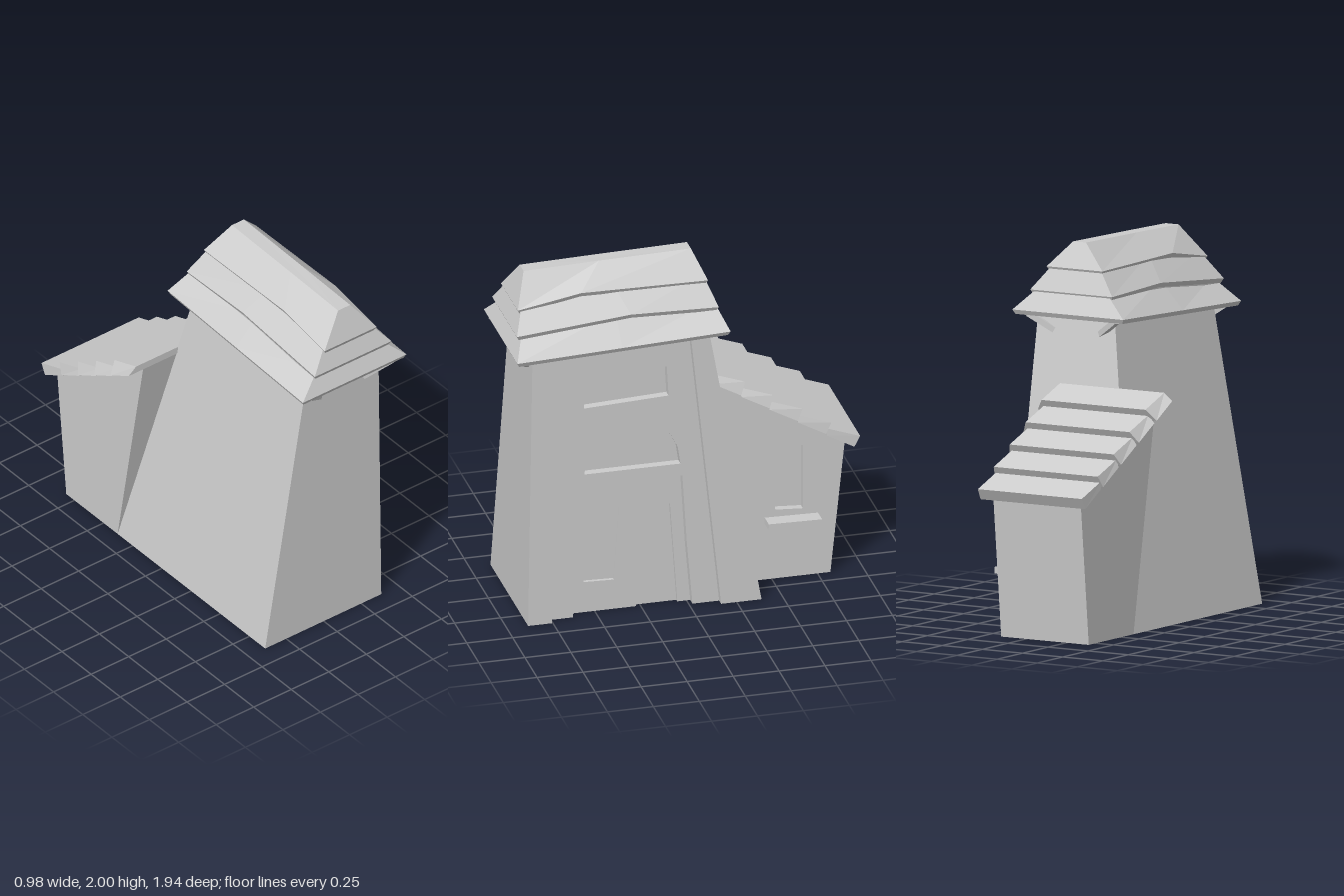
import * as THREE from 'three';

const material = new THREE.MeshStandardMaterial({ color: 0xcccccc, flatShading: true });

function add(parent, name, geometry) {
  const mesh = new THREE.Mesh(geometry, material);
  mesh.name = name;
  parent.add(mesh);
  return mesh;
}

// Closed solid through rings of [x, y, z] points, counter-clockwise seen from above
function loft(rings) {
  const n = rings[0].length, last = (rings.length - 1) * n, index = [];
  for (let r = 0; r < rings.length - 1; r++) {
    for (let i = 0; i < n; i++) {
      const a = r * n + i, b = r * n + (i + 1) % n;
      index.push(a, b, b + n, a, b + n, a + n);
    }
  }
  for (let i = 1; i < n - 1; i++) {
    index.push(0, i + 1, i, last, last + i, last + i + 1);
  }
  const g = new THREE.BufferGeometry();
  g.setAttribute('position', new THREE.Float32BufferAttribute(rings.flat(2), 3));
  g.setIndex(index);
  const flat = g.toNonIndexed();
  flat.computeVertexNormals();
  return flat;
}

const rect = (x0, x1, zFront, zBack, y) =>
  [[x0, y, zFront], [x1, y, zFront], [x1, y, zBack], [x0, y, zBack]];

// Slab with a [z, y] outline and holes, spanning x0 to x1
function slab(outline, holes, x0, x1) {
  const toPoints = list => list.map(([z, y]) => new THREE.Vector2(-z, y));
  const shape = new THREE.Shape(toPoints(outline));
  for (const h of holes) shape.holes.push(new THREE.Path(toPoints(h)));
  const g = new THREE.ExtrudeGeometry(shape, { depth: x1 - x0, bevelEnabled: false });
  return g.rotateY(Math.PI / 2).translate(x0, 0, 0);
}

function buildTower() {
  const tower = new THREE.Group();
  tower.name = 'tower';
  const top = 1.65, zFront = 0.86, zBack = -0.09;
  const panelX = 0.275, doorX = 0.295, wallX = 0.342, outerX = 0.383;

  add(tower, 'towerBody', loft([
    rect(-0.39, panelX, 0.885, -0.385, 0),
    rect(-0.088, panelX, zFront, zBack, top),
  ]));

  // Outline with an opening that starts at the ground
  const outline = notch =>
    [[0.885, 0], ...notch, [-0.385, 0], [zBack, top], [zFront, top]];

  // Door leaves: one sunk panel and one open doorway
  add(tower, 'doorLayer', slab(
    outline([[0.275, 0], [0.27, 0.59], [0.09, 0.575], [0.05, 0]]),
    [[[0.56, 0.175], [0.545, 0.61], [0.365, 0.595], [0.395, 0.17]]],
    panelX, doorX));

  // Wall with door opening, arched window and upper window
  const arch = [];
  for (let i = 0; i <= 9; i++) {
    const a = Math.PI * i / 9;
    arch.push([0.307 + 0.262 * Math.cos(a), 0.825 + 0.295 * Math.sin(a)]);
  }
  add(tower, 'windowWall', slab(
    outline([[0.63, 0], [0.58, 0.77], [0.035, 0.755], [0.01, 0.35], [-0.02, 0]]),
    [arch, [[0.58, 1.4], [0.57, 1.21], [0.11, 1.23], [0.12, 1.4]]],
    doorX, wallX));

  // Corner pilasters
  add(tower, 'frontPilaster', slab(
    [[0.885, 0], [0.755, 0], [0.765, top], [zFront, top]], [], wallX, outerX));
  add(tower, 'backPilaster', slab(
    [[-0.165, 0], [-0.385, 0], [zBack, top], [0.007, top]], [], wallX, outerX));
  return tower;
}

function buildRoof() {
  const roof = new THREE.Group();
  roof.name = 'towerRoof';

  // Ring with heights given at front, middle and back
  const ring = (x0, x1, zf, zm, zb, yf, ym, yb) => [
    [x0, yf, zf], [x1, yf, zf], [x1, ym, zm],
    [x1, yb, zb], [x0, yb, zb], [x0, ym, zm],
  ];
  const tiers = [
    { name: 'lowerRoofTier',
      eave: [-0.205, 0.485, 0.97, 0.4, -0.19, 1.585, 1.608, 1.632],
      top: [-0.06, 0.35, 0.91, 0.4, -0.13, 1.71, 1.76, 1.76] },
    { name: 'middleRoofTier',
      eave: [-0.11, 0.4, 0.95, 0.33, -0.148, 1.7, 1.755, 1.74],
      top: [0.01, 0.28, 0.89, 0.4, -0.09, 1.85, 1.89, 1.89] },
    { name: 'upperRoofTier',
      eave: [-0.025, 0.322, 0.925, 0.58, -0.11, 1.815, 1.875, 1.865],
      top: [0.115, 0.195, 0.86, 0.45, -0.05, 1.98, 1.99, 2] },
  ];
  for (const { name, eave, top } of tiers) {
    const [x0, x1, zf, zm, zb, yf, ym, yb] = eave, d = 0.024, e = 0.012;
    const under = ring(x0 + e, x1 - e, zf - e, zm, zb + e, yf - d, ym - d, yb - d);
    add(roof, name, loft([under, ring(...eave), ring(...top)]));
  }

  // Struts under the eave corners
  const struts = [
    ['front', 0.86, 1.475, 0.945, 1.575],
    ['back', -0.1, 1.53, -0.155, 1.615],
  ];
  for (const [side, z0, y0, z1, y1] of struts) {
    for (const [hand, xa, xb] of [['Left', 0.28, 0.41], ['Right', -0.01, -0.14]]) {
      const a = new THREE.Vector3(xa, y0, z0), b = new THREE.Vector3(xb, y1, z1);
      const strut = add(roof, side + hand + 'Strut',
        new THREE.BoxGeometry(0.03, 0.03, a.distanceTo(b)));
      strut.position.copy(a).lerp(b, 0.5);
      strut.lookAt(b);
    }
  }
  return roof;
}

function buildShed() {
  const shed = new THREE.Group();
  shed.name = 'shed';
  const outline = [[-0.38, 0], [-0.82, 0], [-0.9, 0.775], [-0.16, 1.225]];
  add(shed, 'shedBody', slab(outline, [], -0.39, 0.115));

  // Side wall with a sunk window
  add(shed, 'shedWindowWall', slab(outline,
    [[[-0.5, 0.77], [-0.52, 0.4], [-0.67, 0.39], [-0.67, 0.76]]], 0.115, 0.155));
  const sill = add(shed, 'windowSill', new THREE.BoxGeometry(0.1, 0.035, 0.29));
  sill.position.set(0.19, 0.34, -0.607);
  sill.rotation.x = -0.02;

  // Overlapping roof boards, narrowing down the slope
  for (let i = 0; i < 5; i++) {
    const at = (x, y, z) => [x, y - 0.0985 * i, z - 0.1565 * i];
    const bx0 = -0.49 + 0.012 * i, bx1 = 0.25 - 0.01 * i, tx0 = -0.44, tx1 = 0.207;
    const z0 = -0.157, z1 = -0.31;
    add(shed, 'roofBoard' + (i + 1), loft([
      [at(bx0, 1.22, z0), at(bx1, 1.22, z0), at(bx1, 1.135, z1), at(bx0, 1.135, z1)],
      [at(tx0, 1.26, z0), at(tx1, 1.26, z0), at(tx1, 1.193, -0.342), at(tx0, 1.193, -0.342)],
    ]));
  }
  return shed;
}

export function createModel() {
  const model = new THREE.Group();
  model.name = 'towerHouse';
  model.add(buildTower(), buildRoof(), buildShed());
  return model;
}
